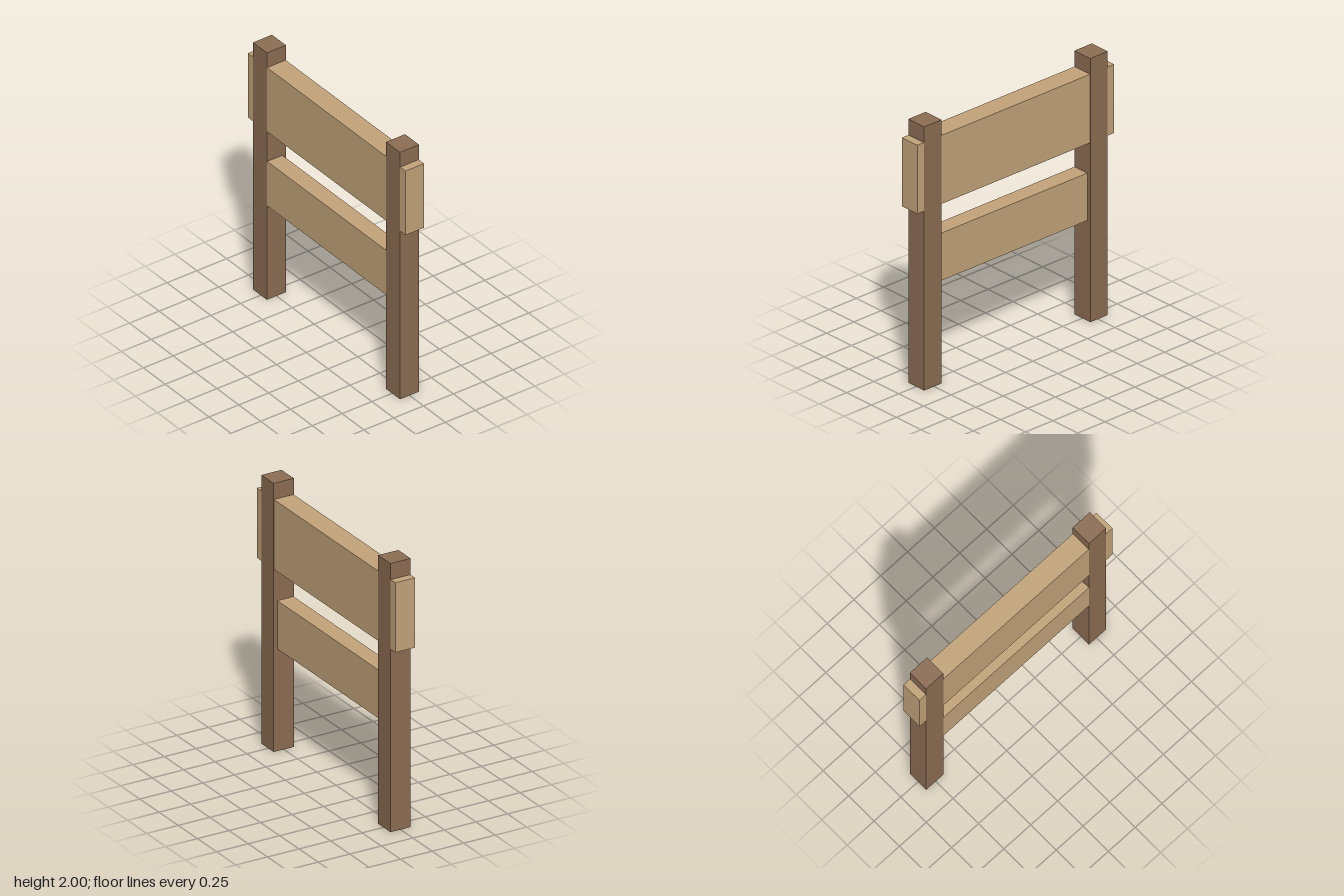
import * as THREE from 'three';

export function createModel() {
  const group = new THREE.Group();
  const postWood = new THREE.MeshStandardMaterial({ color: 0x8d6e54 });
  postWood.name = 'dark post wood';
  const boardWood = new THREE.MeshStandardMaterial({ color: 0xc4a57b });
  boardWood.name = 'light board wood';

  // Box given by its lower and upper limits on each axis
  function addBox(name, material, [x0, x1], [y0, y1], [z0, z1]) {
    const mesh = new THREE.Mesh(new THREE.BoxGeometry(x1 - x0, y1 - y0, z1 - z0), material);
    mesh.position.set((x0 + x1) / 2, (y0 + y1) / 2, (z0 + z1) / 2);
    mesh.name = name;
    group.add(mesh);
  }

  // Two square upright posts
  for (const [name, side] of [['leftPost', 1], ['rightPost', -1]]) {
    const x = 0.76 * side;
    addBox(name, postWood, [x - 0.08, x + 0.08], [0, 2], [-0.08, 0.08]);
  }

  // Wide upper board runs past the posts, a hair behind their faces
  addBox('upperBoard', boardWood, [-0.9, 0.9], [1.36, 1.88], [-0.078, 0.078]);

  // Narrower lower board is let into the posts, set back at the rear
  addBox('lowerBoard', boardWood, [-0.75, 0.75], [0.76, 1.12], [-0.05, 0.078]);

  return group;
}
